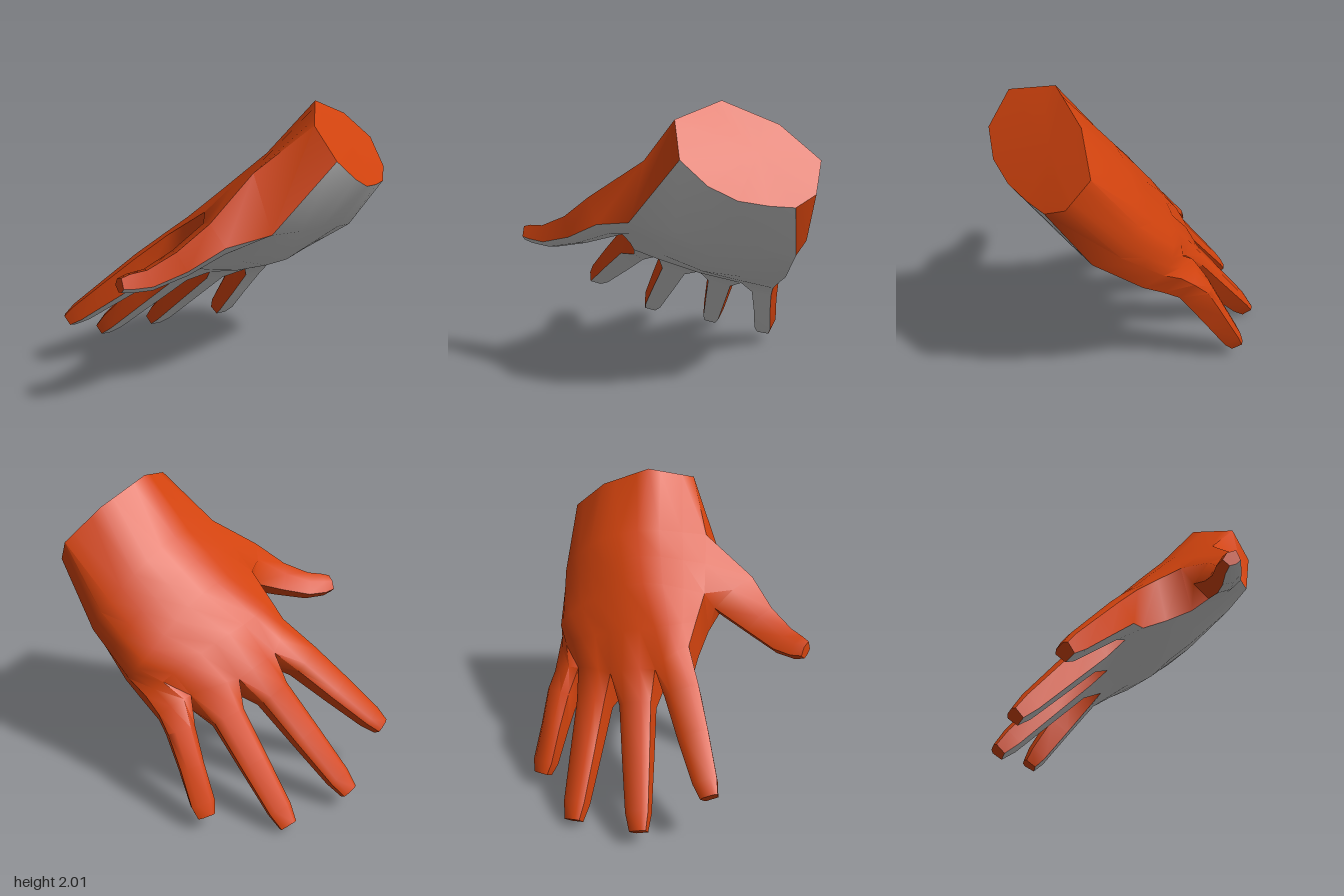
import * as THREE from 'three';
import { toCreasedNormals } from 'three/addons/utils/BufferGeometryUtils.js';

const orange = new THREE.MeshStandardMaterial({ color: 0xd2430e });
const grey = new THREE.MeshStandardMaterial({ color: 0xcccccc });
const V = (a) => new THREE.Vector3(...a);

// Palm rings, wrist to knuckles: back runs little finger to thumb side, grip runs back again
const WRIST = {
  back: [[0.74, 1.49, -0.92], [0.6, 1.66, -0.95], [0.55, 1.86, -0.7], [0.57, 2, -0.36], [0.77, 1.92, -0.1]],
  grip: [[0.92, 1.72, -0.14], [0.95, 1.58, -0.3], [0.92, 1.49, -0.47], [0.87, 1.45, -0.65], [0.82, 1.43, -0.8]],
};
const THUMB_HEEL = {
  back: [[0.4, 1.1, -0.9], [0.28, 1.27, -0.89], [0.23, 1.5, -0.67], [0.28, 1.65, -0.32], [0.48, 1.61, 0.11]],
  grip: [[0.7, 1.28, 0.18], [0.7, 1.23, -0.1], [0.67, 1.18, -0.35], [0.62, 1.11, -0.6], [0.55, 1.05, -0.83]],
};
const THUMB_CROTCH = {
  back: [[0.08, 0.86, -0.83], [-0.01, 1.01, -0.77], [-0.01, 1.22, -0.52], [0.03, 1.38, -0.17], [0.17, 1.31, 0.22]],
  grip: [[0.24, 1, 0.23], [0.3, 0.94, 0], [0.3, 0.84, -0.25], [0.27, 0.8, -0.5], [0.2, 0.78, -0.79]],
};
const UPPER_PALM = {
  back: [[-0.06, 0.78, -0.79], [-0.14, 0.93, -0.63], [-0.18, 1.07, -0.33], [-0.16, 1.16, 0], [-0.01, 1.18, 0.23]],
  grip: [[0.05, 0.89, 0.23], [0.06, 0.83, 0.06], [0.06, 0.74, -0.22], [0.08, 0.7, -0.5], [0.05, 0.69, -0.76]],
};
// Crotches between the fingers, on the back and on the grip side
const KNUCKLES = {
  back: [[-0.17, 0.69, -0.765], [-0.22, 0.78, -0.55], [-0.33, 0.85, -0.25], [-0.3, 0.93, 0.06], [-0.16, 1.07, 0.24]],
  grip: [[-0.12, 0.8, 0.25], [-0.18, 0.77, 0.09], [-0.19, 0.66, -0.2], [-0.12, 0.61, -0.5], [-0.09, 0.59, -0.72]],
};

// Ring of 13 back points, rounded by the tension, and 5 grip points
function palmRing({ back, grip }, tension) {
  const curve = new THREE.CatmullRomCurve3(back.map(V), false, 'catmullrom', tension);
  return [...curve.getPoints(12), ...grip.map(V)];
}

// Knuckle ring: the back bulges over each finger and dips at the crotches
function knuckleRing({ back, grip }) {
  const ring = [];
  back.map(V).forEach((p, k, all) => {
    ring.push(p);
    if (k === 4) return;
    for (const f of [0.3, 0.7]) ring.push(p.clone().lerp(all[k + 1], f).add(V([-0.03, 0.03, 0])));
  });
  return [...ring, ...grip.map(V)];
}

// Cross-sections as [across, up]: finger with a narrow flat underside, rounder thumb
const FINGER = [[-0.37, -0.5], [0.37, -0.5], [0.5, 0.3], [0.28, 0.5], [-0.28, 0.5], [-0.5, 0.3]];
const THUMB = [[-0.24, -0.5], [0.14, -0.5], [0.5, -0.27], [0.52, 0.35], [0, 0.5], [-0.5, 0.2]];

// Rings along a digit; stations are [centre, width, thickness], roll tilts its back sideways
function digitRings(section, stations, roll) {
  const pts = stations.map((s) => V(s[0]));
  return stations.map(([, w, t], k) => {
    const d = pts[Math.min(k + 1, pts.length - 1)].clone().sub(pts[Math.max(k - 1, 0)]).normalize();
    const up = new THREE.Vector3(-0.74, 0.67, roll);
    up.addScaledVector(d, -up.dot(d)).normalize();
    const side = d.clone().cross(up);
    return section.map(([x, y]) => pts[k].clone().addScaledVector(side, x * w).addScaledVector(up, y * t));
  });
}

// Straight tapering finger from knuckle centre to tip
function fingerRings(base, tip, width, roll) {
  const at = (f) => V(base).lerp(V(tip), f).toArray();
  return digitRings(FINGER, [
    [at(0.2), width, 0.2],
    [at(0.55), width * 0.87, 0.165],
    [at(0.9), 0.16, 0.13],
    [at(1.02), 0.115, 0.09],
  ], roll);
}

export function createModel() {
  const back = [], grip = [];

  // Skin a row of rings, sending the grey columns to the grip side
  const loft = (rings, isGrey, isHole = () => false) => {
    const n = rings[0].length;
    for (let k = 0; k < rings.length - 1; k++) {
      for (let i = 0; i < n; i++) {
        if (isHole(k, i)) continue;
        const j = (i + 1) % n;
        const a = rings[k][i], b = rings[k][j], c = rings[k + 1][j], e = rings[k + 1][i];
        (isGrey(i) ? grip : back).push(a, e, c, a, c, b);
      }
    }
  };
  // Close a ring with a fan
  const cap = (ring, target) => {
    const mid = new THREE.Vector3();
    ring.forEach((p) => mid.addScaledVector(p, 1 / ring.length));
    ring.forEach((p, i) => target.push(mid, p, ring[(i + 1) % ring.length]));
  };
  const digit = (root, rings, isGrey) => {
    loft([root, ...rings], isGrey);
    cap([...rings[rings.length - 1]].reverse(), back);
  };

  // Palm, leaving a hole in its side for the thumb
  const wrist = palmRing(WRIST, 0);
  const heel = palmRing(THUMB_HEEL, 0.5);
  const crotch = palmRing(THUMB_CROTCH, 0.5);
  const middle = heel.map((p, i) => p.clone().lerp(crotch[i], 0.5));
  const knuckles = knuckleRing(KNUCKLES);
  loft([wrist, heel, middle, crotch, palmRing(UPPER_PALM, 0.5), knuckles],
    (i) => i >= 13 && i <= 16,
    (k, i) => i === 12 && (k === 1 || k === 2));

  // Index to little finger, each growing from its share of the knuckle ring
  [
    fingerRings([-0.225, 0.91, 0.195], [-0.755, 0.39, 0.62], 0.235, 0),
    fingerRings([-0.25, 0.82, -0.08], [-0.905, 0.12, 0.21], 0.225, -0.12),
    fingerRings([-0.22, 0.75, -0.385], [-0.87, 0.045, -0.27], 0.22, -0.2),
    fingerRings([-0.17, 0.69, -0.66], [-0.55, 0.1, -0.68], 0.185, -0.2),
  ].forEach((rings, f) => {
    const t = 12 - 3 * f;
    const root = [13 + f, 14 + f, t - 3, t - 2, t - 1, t].map((i) => knuckles[i]);
    digit(root, rings, (i) => i === 0);
  });

  // Thumb, growing from the hole in the palm
  const thumbRoot = [heel[13], middle[13], crotch[13], crotch[12], middle[12], heel[12]];
  digit(thumbRoot, digitRings(THUMB, [
    [[0.395, 1.235, 0.365], 0.33, 0.23],
    [[0.31, 1.11, 0.58], 0.225, 0.18],
    [[0.23, 1.035, 0.77], 0.18, 0.14],
    [[0.18, 1.03, 0.88], 0.15, 0.12],
    [[0.165, 1.03, 0.94], 0.11, 0.09],
  ], 0), (i) => i < 2);

  const cuff = [];
  cap(wrist, cuff);

  const glove = new THREE.Group();
  glove.name = 'glove';
  for (const [name, points, material] of [
    ['gloveBack', back, orange], ['gripCoating', grip, grey], ['wristEnd', cuff, orange],
  ]) {
    const mesh = new THREE.Mesh(
      toCreasedNormals(new THREE.BufferGeometry().setFromPoints(points), 0.95), material);
    mesh.name = name;
    glove.add(mesh);
  }
  return glove;
}
